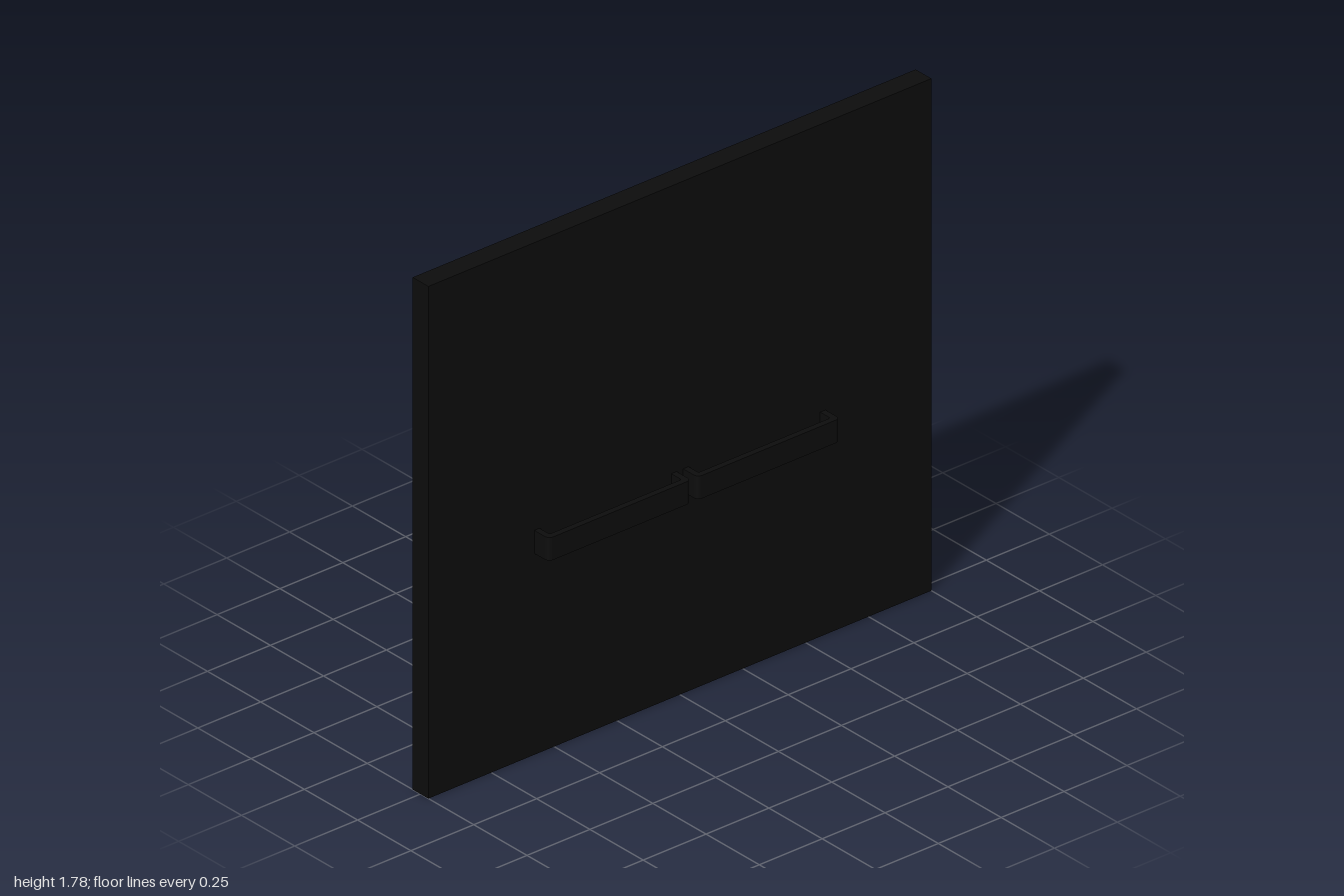
import * as THREE from 'three';

const WIDTH = 0.074, HEIGHT = 1.78, LEAF = 1;

// Traces a rounded rectangle centred on the origin
function roundedRect(path, w, h, r) {
  const x = w / 2, y = h / 2;
  path.moveTo(x, -y + r);
  path.lineTo(x, y - r);
  path.absarc(x - r, y - r, r, 0, Math.PI / 2);
  path.lineTo(-x + r, y);
  path.absarc(-x + r, y - r, r, Math.PI / 2, Math.PI);
  path.lineTo(-x, -y + r);
  path.absarc(-x + r, -y + r, r, Math.PI, Math.PI * 1.5);
  path.lineTo(x - r, -y);
  path.absarc(x - r, -y + r, r, Math.PI * 1.5, Math.PI * 2);
  return path;
}

export function createModel() {
  const model = new THREE.Group();
  model.name = 'doubleDoor';
  const black = new THREE.MeshStandardMaterial({ color: 0x0d0d0d });
  black.name = 'black';

  // Flat strap bent into a loop that passes through the leaf
  const outline = roundedRect(new THREE.Shape(), 0.21, 0.566, 0.018);
  outline.holes.push(roundedRect(new THREE.Path(), 0.168, 0.524, 0.006));
  const handleGeometry = new THREE.ExtrudeGeometry(outline, { depth: 0.08, bevelEnabled: false, curveSegments: 6 });
  handleGeometry.rotateX(Math.PI / 2);
  const leafGeometry = new THREE.BoxGeometry(WIDTH, HEIGHT, LEAF);

  // Two mirrored leaves, each with its push-pull handle
  for (const [side, sign] of [['front', 1], ['back', -1]]) {
    const leaf = new THREE.Mesh(leafGeometry, black);
    leaf.name = side + 'Leaf';
    leaf.position.set(0, HEIGHT / 2, sign * LEAF / 2);

    const handle = new THREE.Mesh(handleGeometry, black);
    handle.name = side + 'Handle';
    handle.position.set(0, 0.78, sign * 0.296);
    model.add(leaf, handle);
  }
  return model;
}
